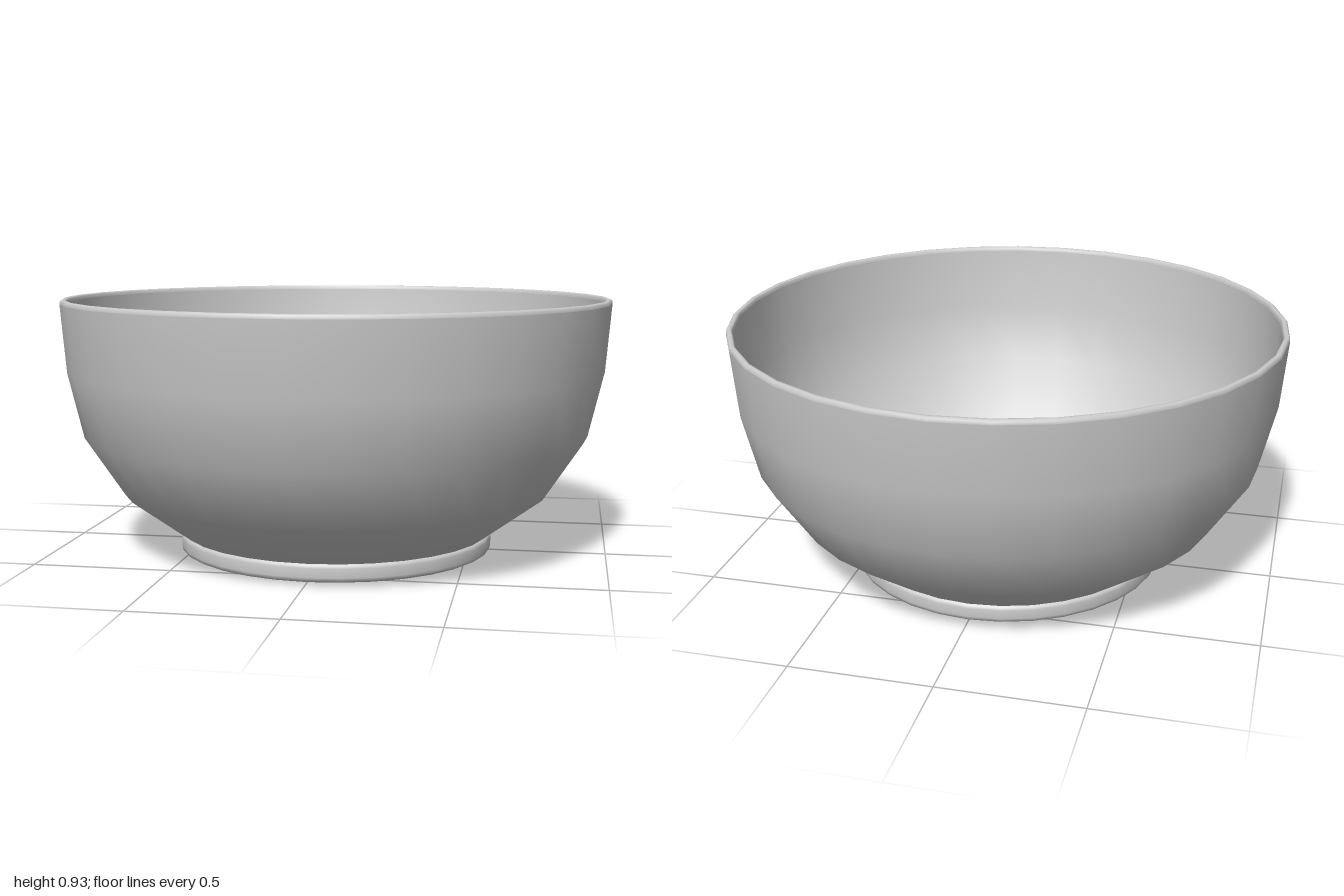
import * as THREE from 'three';

const SIDES = 32;

export function createModel() {
  const group = new THREE.Group();
  const material = new THREE.MeshStandardMaterial({ color: 0xcccccc });

  // Revolve a profile of [radius, height] points; sections meet in crisp edges
  const addRevolved = (name, profile) => {
    const points = profile.map(([r, y]) => new THREE.Vector2(r, y));
    const mesh = new THREE.Mesh(new THREE.LatheGeometry(points, SIDES), material);
    mesh.name = name;
    group.add(mesh);
  };

  // Flat underside
  addRevolved('base', [[0, 0], [0.567, 0]]);

  // Foot ring with softened edges
  addRevolved('foot', [
    [0.567, 0], [0.577, 0.005], [0.581, 0.018], [0.581, 0.05], [0.577, 0.06], [0.568, 0.066],
  ]);

  // Outer wall, from the foot up to the rim
  addRevolved('outerWall', [
    [0.568, 0.062], [0.785, 0.222], [0.925, 0.435], [0.98, 0.67], [1, 0.915],
  ]);

  // Rounded lip
  addRevolved('rim', [
    [1, 0.915], [0.999, 0.925], [0.993, 0.93], [0.983, 0.93], [0.978, 0.925], [0.976, 0.915],
  ]);

  // Hollow, from the lip down to the floor
  addRevolved('innerWall', [
    [0.976, 0.915], [0.957, 0.675], [0.903, 0.446], [0.768, 0.24], [0.558, 0.09], [0.3, 0.08], [0, 0.08],
  ]);

  return group;
}
